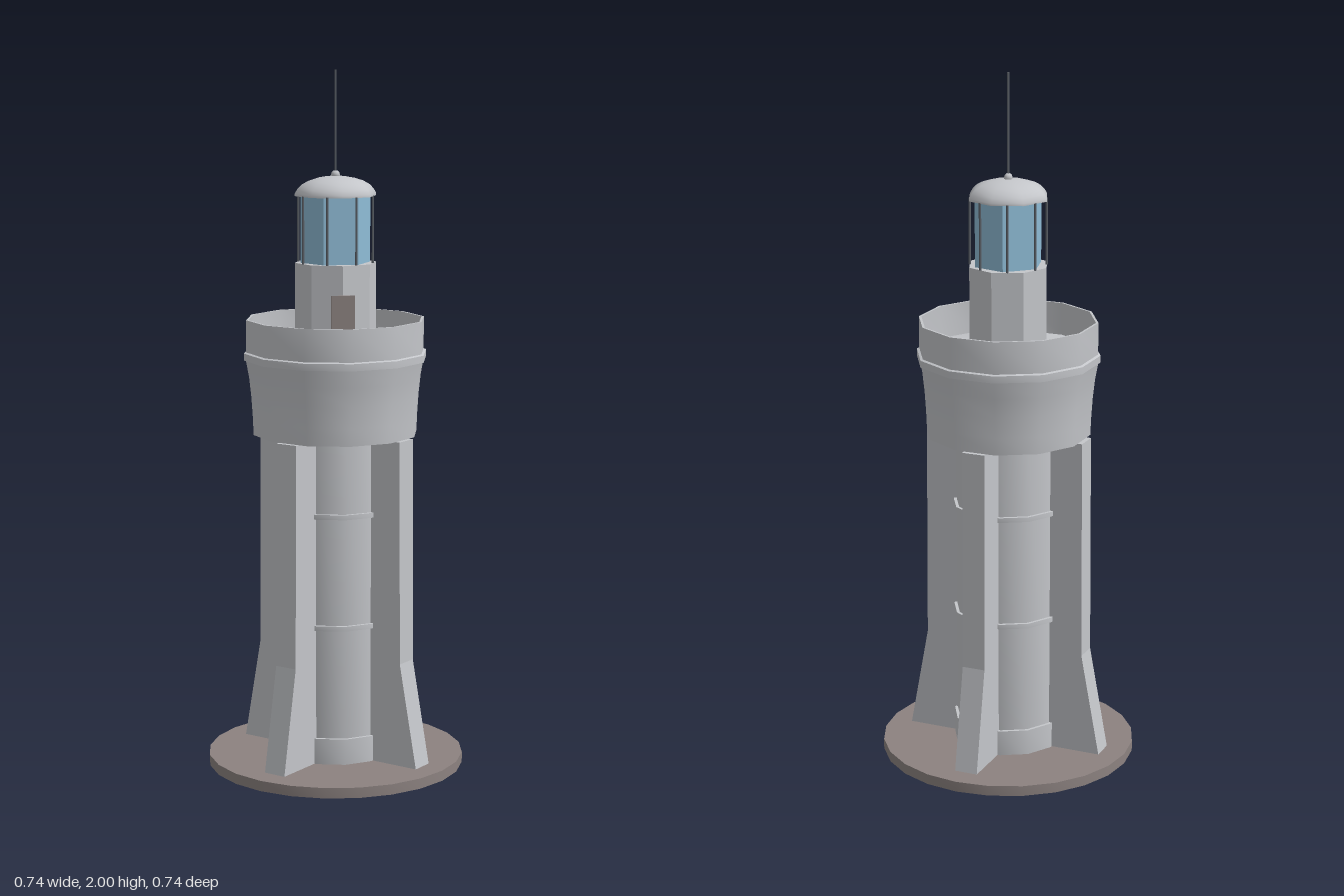
import * as THREE from 'three';
import { toCreasedNormals } from 'three/addons/utils/BufferGeometryUtils.js';

const material = (name, color) => {
  const m = new THREE.MeshStandardMaterial({ color });
  m.name = name;
  return m;
};

export function createModel() {
  const model = new THREE.Group();
  model.name = 'lighthouse';
  const stone = material('pale stone', 0xc4c6ca);
  const brown = material('brown stone', 0x8c8280);
  const glass = material('blue glass', 0x8fbcd6);
  const metal = material('dark metal', 0x5a5f66);

  const add = (name, geometry, mat, x = 0, y = 0, z = 0) => {
    const mesh = new THREE.Mesh(geometry, mat);
    mesh.name = name;
    mesh.position.set(x, y, z);
    model.add(mesh);
    return mesh;
  };
  // Turned part from [radius, height] pairs, listed from bottom to top
  const turned = (name, points, sides, mat, crease = 0.6) => {
    const profile = points.map(([r, y]) => new THREE.Vector2(r, y));
    return add(name, toCreasedNormals(new THREE.LatheGeometry(profile, sides), crease), mat);
  };
  const drum = (name, r, y0, y1, sides, mat, crease) =>
    turned(name, [[0, y0], [r, y0], [r, y1], [0, y1]], sides, mat, crease);

  // Ground disc and tower shaft
  drum('baseDisc', 0.37, 0, 0.03, 24, brown);
  drum('shaft', 0.151, 0.03, 0.98, 12, stone);
  drum('shaftPlinth', 0.16, 0.03, 0.105, 12, stone);
  for (const y of [0.43, 0.753]) drum('shaftBand', 0.16, y - 0.007, y + 0.007, 12, stone);

  // Four diagonal buttresses, flared at the foot
  const outline = new THREE.Shape();
  outline.moveTo(0.1, 0.03);
  outline.lineTo(0.302, 0.03);
  outline.lineTo(0.246, 0.33);
  outline.lineTo(0.242, 0.97);
  outline.lineTo(0.1, 0.97);
  const width = 0.068;
  const buttress = new THREE.ExtrudeGeometry(outline, { depth: width, bevelEnabled: false });
  buttress.translate(0, 0, -width / 2);
  for (let i = 0; i < 4; i++) {
    add('buttress', buttress, stone).rotation.y = Math.PI / 4 + i * Math.PI / 2;
  }

  // Flared gallery with moulding, hollow parapet and floor
  turned('gallery', [
    [0, 0.97], [0.237, 0.97], [0.239, 1.02], [0.243, 1.08], [0.249, 1.135], [0.258, 1.185],
    [0.264, 1.185], [0.264, 1.205], [0.257, 1.208],
    [0.257, 1.3], [0.25, 1.3], [0.25, 1.205], [0, 1.205],
  ], 12, stone);

  // Octagonal watch room with its door
  drum('watchRoom', 0.117, 1.2, 1.46, 8, stone, 0.5);
  add('door', new THREE.BoxGeometry(0.066, 0.175, 0.006), brown, 0, 1.29, 0.118);

  // Lantern: six glass sides inside a ring of eight posts
  const pane = new THREE.CylinderGeometry(0.1, 0.1, 0.19, 6, 1, true).toNonIndexed();
  pane.rotateY(Math.PI / 2);
  pane.computeVertexNormals();
  add('lanternGlass', pane, glass, 0, 1.555, 0);
  const post = new THREE.CylinderGeometry(0.0035, 0.0035, 0.19, 6);
  for (let i = 0; i < 8; i++) {
    const a = (i + 0.5) * Math.PI / 4;
    add('lanternPost', post, metal, 0.108 * Math.cos(a), 1.555, 0.108 * Math.sin(a));
  }

  // Domed roof, finial and mast
  const dome = [[0, 1.648], [0.117, 1.648], [0.117, 1.655]];
  for (let i = 1; i <= 6; i++) {
    const a = i / 6 * Math.PI / 2;
    dome.push([i === 6 ? 0 : 0.113 * Math.cos(a), 1.655 + 0.049 * Math.sin(a)]);
  }
  turned('dome', dome, 8, stone, 0.95);
  add('finial', new THREE.SphereGeometry(0.013, 6, 6), stone, 0, 1.707, 0);
  add('mast', new THREE.CylinderGeometry(0.003, 0.003, 0.29, 6), metal, 0, 1.855, 0);

  return model;
}
